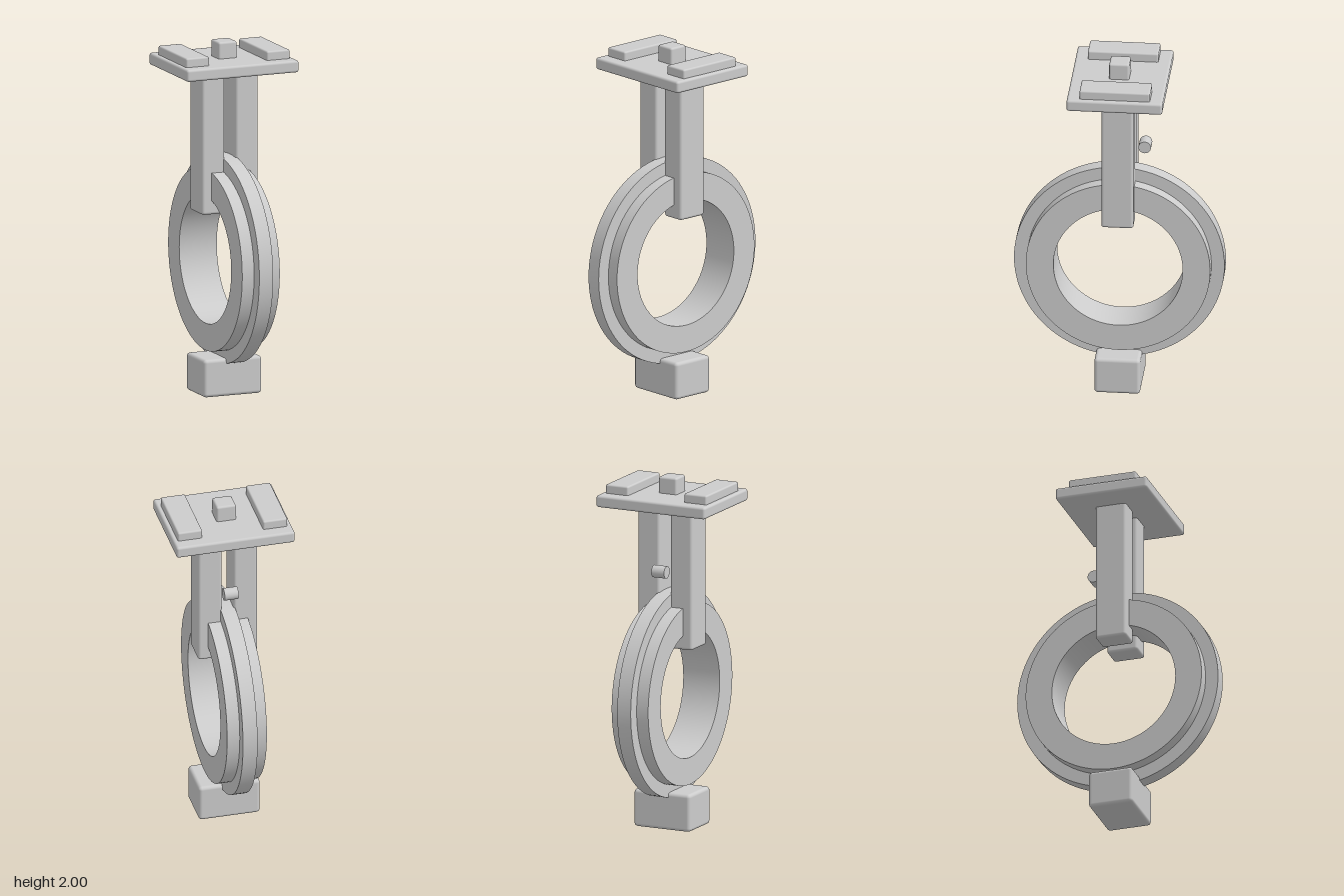
import * as THREE from 'three';
import { RoundedBoxGeometry } from 'three/addons/geometries/RoundedBoxGeometry.js';
import { toCreasedNormals } from 'three/addons/utils/BufferGeometryUtils.js';

export function createModel() {
  const model = new THREE.Group();
  model.name = 'hangingRing';
  const grey = new THREE.MeshStandardMaterial({ color: 0xcccccc });
  grey.name = 'light grey';

  function add(name, geometry, x, y, z) {
    const mesh = new THREE.Mesh(geometry, grey);
    mesh.name = name;
    mesh.position.set(x, y, z);
    model.add(mesh);
  }

  // Soft-edged block centred on z = 0, given its centre x, height range, width and depth
  function block(name, x, y0, y1, width, depth, radius) {
    add(name, new RoundedBoxGeometry(width, y1 - y0, depth, 3, radius), x, (y0 + y1) / 2, 0);
  }

  // Ring with a raised central rim, turned about the x axis
  const profile = [
    [0.362, -0.114], [0.516, -0.114], [0.516, -0.042], [0.589, -0.042],
    [0.589, 0.042], [0.516, 0.042], [0.516, 0.114], [0.362, 0.114], [0.362, -0.114],
  ].map(([r, h]) => new THREE.Vector2(r, h));
  const ring = toCreasedNormals(new THREE.LatheGeometry(profile, 96), 0.6);
  ring.rotateZ(Math.PI / 2);
  add('steppedRing', ring, 0, 0.761, 0);

  // Foot block under the ring
  block('footBlock', 0, 0, 0.214, 0.352, 0.256, 0.02);

  // Mounting plate and centre stud
  block('topPlate', 0, 1.838, 1.906, 0.68, 0.536, 0.014);
  block('centreStud', 0, 1.89, 2, 0.112, 0.112, 0.012);

  // Paired hanger bars and plate pads
  for (const [side, s] of [['left', 1], ['right', -1]]) {
    block(side + 'HangerBar', s * 0.102, 1.032, 1.85, 0.138, 0.18, 0.016);
    block(side + 'PlatePad', s * 0.245, 1.89, 1.957, 0.14, 0.394, 0.01);
  }

  // Small cross pin behind the bars
  const pin = new THREE.CylinderGeometry(0.035, 0.035, 0.08, 32);
  pin.rotateZ(Math.PI / 2);
  add('crossPin', pin, 0, 1.479, -0.142);

  return model;
}
